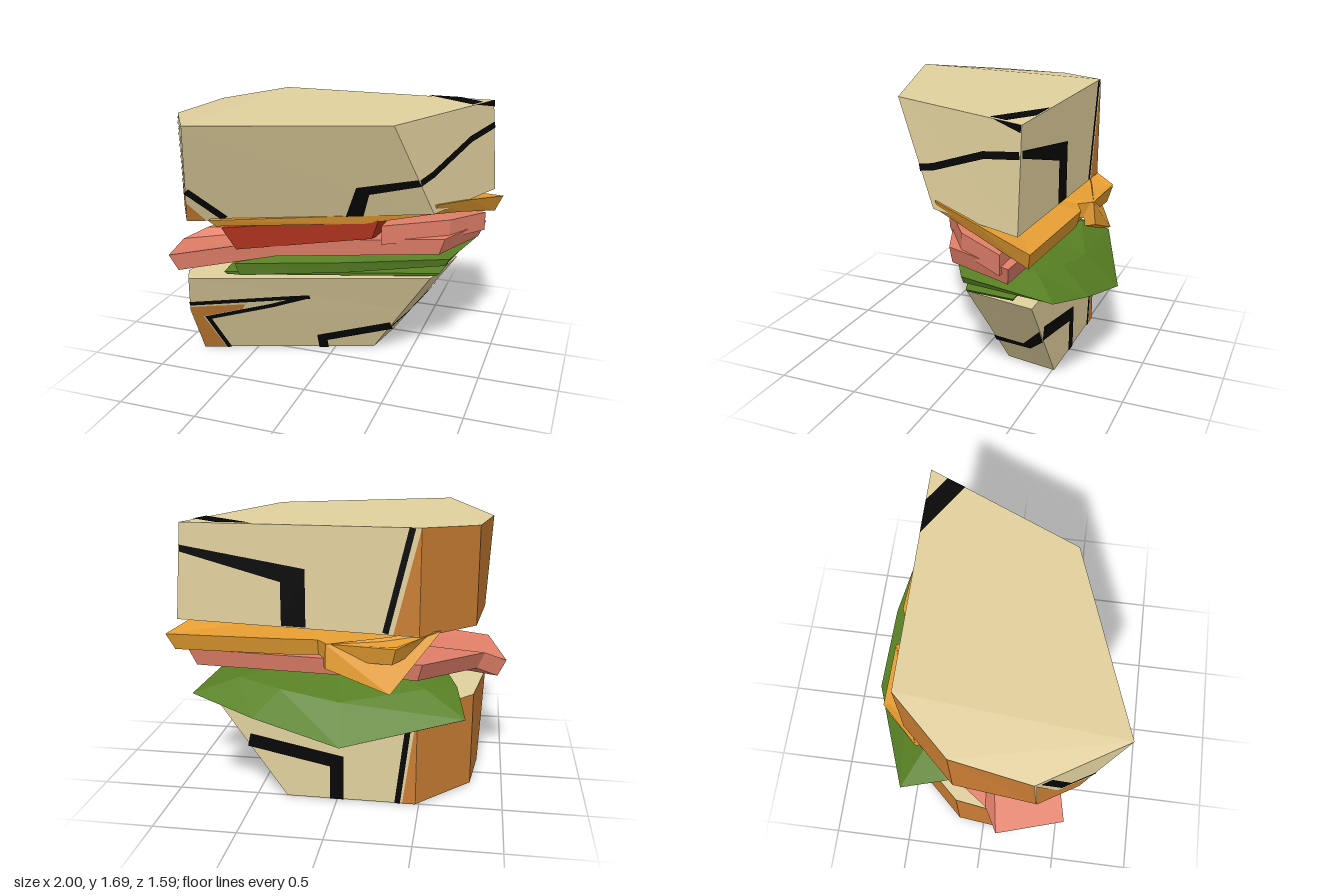
import * as THREE from 'three';

const flat = (name, color) => Object.assign(new THREE.MeshStandardMaterial({ color }), { name });
const V = (p) => new THREE.Vector3(...p);

// Flat-shaded mesh from a list of triangles, skipping collapsed ones
function triMesh(name, material, tris) {
  const pts = tris.map((t) => t.map(V)).filter((t) => new THREE.Triangle(...t).getArea() > 1e-7).flat();
  const geo = new THREE.BufferGeometry().setFromPoints(pts);
  geo.computeVertexNormals();
  const mesh = new THREE.Mesh(geo, material);
  mesh.name = name;
  return mesh;
}

// Side triangles of edge i between two loops, upper one first
const wall = (a, b, i) => {
  const j = (i + 1) % a.length;
  return [[a[i], b[i], b[j]], [a[i], b[j], a[j]]];
};

// End faces of a solid between two loops
const caps = (a, b) => a.slice(2).flatMap((_, i) => [[a[0], a[i + 1], a[i + 2]], [b[0], b[i + 2], b[i + 1]]]);

// Bread loop: front-left, front-right, back-right, back-left, side, left corner.
// The back and the crust corner stay upright; "height" gives y from x.
const BACK = -0.515;
function breadLoop(height, frontLeft, frontRight, backRightX, left) {
  return [frontLeft, frontRight, [backRightX, BACK], [-0.48, BACK], [-0.8, -0.17], left].map(([x, z]) => [x, height(x), z]);
}

// Bread slice from stacked loops; crustEdges are the edges covered by crust
function bread(name, rings, crustEdges, crumb, crust) {
  const tan = caps(rings[0], rings[rings.length - 1]), brown = [];
  for (let r = 0; r < rings.length - 1; r++) {
    rings[r].forEach((_, i) => (crustEdges.includes(i) ? brown : tan).push(...wall(rings[r], rings[r + 1], i)));
  }
  const g = new THREE.Group();
  g.name = name;
  g.add(triMesh(name + 'Crumb', crumb, tan), triMesh(name + 'Crust', crust, brown));
  return g;
}

// Thin painted polygon on a plane; "drop" is the axis solved from the plane
function patch(name, material, corners, drop, pts, lift) {
  const plane = new THREE.Plane().setFromCoplanarPoints(...corners.map(V));
  const n = plane.normal;
  const p3 = pts.map(([u, v]) => {
    const p = V(drop === 'z' ? [u, v, 0] : drop === 'x' ? [0, v, u] : [u, 0, v]);
    p[drop] = -(n.dot(p) + plane.constant) / n[drop];
    return p.addScaledVector(n, lift);
  });
  const tris = THREE.ShapeUtils.triangulateShape(pts.map((p) => new THREE.Vector2(...p)), []).map(([i, j, k]) => {
    const facing = p3[j].clone().sub(p3[i]).cross(p3[k].clone().sub(p3[i])).dot(n) > 0;
    return (facing ? [i, j, k] : [i, k, j]).map((q) => p3[q].toArray());
  });
  return triMesh(name, material, tris);
}

// Widen a 2D path into a mitred stroke outline
function stroke(path, width) {
  const pts = path.map((p) => new THREE.Vector2(...p));
  const normals = pts.slice(1).map((p, i) => p.clone().sub(pts[i]).normalize()).map((d) => new THREE.Vector2(-d.y, d.x));
  const offsets = pts.map((_, i) => {
    const a = normals[Math.max(i - 1, 0)], b = normals[Math.min(i, normals.length - 1)];
    return a.clone().add(b).multiplyScalar(width / 2 / (1 + a.dot(b)));
  });
  const edge = (s) => pts.map((p, i) => p.clone().addScaledVector(offsets[i], s).toArray());
  return [...edge(1), ...edge(-1).reverse()];
}

// Filling sheet: outline fanned to a centre through an inner loop; thick(z) is its depth
function sheet(name, material, outline, centre, thick, { bulge = 0.7, shrink = 1 } = {}) {
  const mix = (p, kxz, ky) => p.map((c, a) => THREE.MathUtils.lerp(centre[a], c, a === 1 ? ky : kxz));
  const lower = ([x, y, z]) => [x, y - thick(z), z];
  const inner = outline.map((p) => mix(p, 0.7, bulge));
  const under = outline.map((p) => lower(mix(p, shrink, 1)));
  const underInner = inner.map(lower);
  const tris = [];
  outline.forEach((_, i) => {
    const j = (i + 1) % outline.length;
    tris.push([centre, inner[i], inner[j]], ...wall(inner, outline, i), ...wall(outline, under, i));
    tris.push(...wall(under, underInner, i), [lower(centre), underInner[j], underInner[i]]);
  });
  return triMesh(name, material, tris);
}

export function createModel() {
  const crumb = flat('crumb tan', 0xe2d19e);
  const crust = flat('crust brown', 0xca7e34);
  const ink = flat('outline black', 0x060606);
  const yellow = flat('cheese orange', 0xf0a534);
  const pink = flat('ham pink', 0xe28069);
  const red = flat('tomato red', 0xbc3822);
  const green = flat('lettuce green', 0x588124);
  const model = new THREE.Group();
  model.name = 'sandwich';

  // Two bread slices with slanted front and right cuts
  const upTop = breadLoop((x) => 1.68 + 0.15 * Math.min(0, x + 0.59), [-0.59, 0.79], [0.51, 0.4], 0.91, [-0.88, 0.3]);
  const upBot = breadLoop((x) => 1.07 + 0.035 * x, [-0.71, 0.57], [0.69, 0.1], 0.955, [-0.85, 0.33]);
  const lowTop = breadLoop(() => 0.6, [-0.81, 0.42], [0.645, -0.08], 0.73, [-0.87, 0.3]);
  const lowMid = breadLoop(() => 0.33, [-0.86, 0.33], [0.467, -0.13], 0.541, [-0.86, 0.33]);
  const lowBot = breadLoop(() => 0, [-0.84, 0.19], [0.25, -0.19], 0.31, [-0.84, 0.19]);
  model.add(bread('topBread', [upTop, upBot], [3, 4], crumb, crust));
  model.add(bread('bottomBread', [lowTop, lowMid, lowBot], [3, 4, 5], crumb, crust));

  // Painted crust patches and dark outlines on the bread faces
  const face = (top, bot, i) => [top[i], bot[i], top[(i + 1) % 6]];
  const up = (i) => face(upTop, upBot, i), low = (i) => face(lowTop, lowBot, i);
  const line = (name, corners, drop, width, ...path) => model.add(patch(name, ink, corners, drop, stroke(path, width), 0.006));
  const black = (name, corners, drop, ...pts) => model.add(patch(name, ink, corners, drop, pts, 0.006));
  const brown = (name, corners, ...pts) => model.add(patch(name, crust, corners, 'z', pts, 0.004));

  black('topFrontLine', up(0), 'z', [0.19, 1.08], [0.27, 1.283], [0.615, 1.335], [0.63, 1.29], [0.337, 1.235], [0.29, 1.083]);
  line('topFrontCornerLine', up(0), 'z', 0.045, [-0.665, 1.26], [-0.49, 1.07]);
  line('topRightLine', up(1), 'x', 0.04, [0.21, 1.31], [0.1, 1.337], [-0.27, 1.48], [-0.512, 1.525]);
  black('topRightCorner', up(1), 'x', [-0.33, 1.68], [BACK, 1.64], [BACK, 1.68]);
  black('topSurfaceCorner', upTop.slice(0, 3), 'y', [0.484, BACK], [0.7, BACK], [0.86, -0.41], [0.815, -0.3]);
  black('topBackLine', up(2), 'z', [0.915, 1.55], [0.18, 1.43], [0.18, 1.085], [0.325, 1.09], [0.325, 1.35], [0.915, 1.51]);
  line('topBackEdgeLine', up(2), 'z', 0.036, [-0.43, 1.68], [-0.285, 1.07]);
  brown('topBackCrust', up(2), [-0.48, 1.68], [-0.33, 1.06], [-0.48, 1.06]);
  line('topCornerLine', up(5), 'z', 0.034, [-0.845, 1.63], [-0.765, 1.27], [-0.67, 1.26]);
  brown('topCornerCrust', up(5), [-0.875, 1.63], [-0.79, 1.22], [-0.685, 1.195], [-0.71, 1.05], [-0.85, 1.04]);
  brown('topFrontCrust', up(0), [-0.685, 1.18], [-0.6, 1.055], [-0.71, 1.052]);

  line('bottomFrontUpperLine', low(0), 'z', 0.03, [-0.85, 0.39], [-0.25, 0.44], [-0.1, 0.45]);
  line('bottomFrontLine', low(0), 'z', 0.03, [-0.12, 0.45], [-0.35, 0.375], [-0.76, 0.27], [-0.68, 0]);
  brown('bottomFrontCrust', low(0), [-0.855, 0.36], [-0.51, 0.385], [-0.53, 0.345], [-0.79, 0.28], [-0.7, 0], [-0.84, 0]);
  line('bottomFrontRightLine', low(0), 'z', 0.06, [-0.07, 0], [-0.07, 0.09], [0.38, 0.2]);
  black('bottomRightLine', low(1), 'x', [-0.15, 0.215], [-0.36, 0.22], [BACK, 0.4], [BACK, 0.3], [-0.4, 0.185], [-0.15, 0.17]);
  line('bottomBackLine', low(2), 'z', 0.085, [0.54, 0.36], [0, 0.25], [0, 0]);
  line('bottomBackEdgeLine', low(2), 'z', 0.034, [-0.44, 0.6], [-0.37, 0]);
  brown('bottomBackCrust', low(2), [-0.48, 0.6], [-0.4, 0], [-0.48, 0]);

  // Cheese slice, thicker where it droops, with a corner folded down at the back
  model.add(sheet('cheese', yellow, [
    [-0.57, 1.065, 0.57], [0.3, 1.085, 0.23], [0.71, 1.15, 0.08], [0.84, 1.11, -0.2], [1, 1.035, -0.6], [0.28, 1.05, -0.645],
    [0.1, 1.03, -0.57], [0.04, 1.03, -0.64], [-0.36, 1.02, -0.66], [-0.57, 1.06, -0.4],
  ], [0.1, 1.07, -0.1], (z) => 0.07 - 0.05 * z, { shrink: 0.95 }));
  const flapOuter = [[0.04, 1.03, -0.65], [0.04, 0.89, -0.665], [-0.33, 0.75, -0.665], [-0.6, 1.07, -0.42], [-0.36, 1.03, -0.66]];
  const flapInner = flapOuter.map(([x, y, z]) => [x + 0.02, y - 0.01, z + 0.06]);
  model.add(triMesh('cheeseFlap', yellow, [...caps(flapOuter, flapInner), ...flapOuter.flatMap((_, i) => wall(flapOuter, flapInner, i))]));

  // Tomato wedge and the ham folded beside it
  model.add(sheet('tomato', red, [
    [-0.52, 1, 0.5], [0.38, 1.07, 0.19], [0.38, 1.03, -0.04], [0.2, 1, -0.4], [-0.45, 1, -0.3],
  ], [-0.02, 1.02, 0.05], () => 0.15, { shrink: 0.87 }));
  model.add(sheet('hamFold', pink, [
    [0.38, 1, 0.15], [0.75, 1, -0.1], [0.92, 0.975, -0.4], [0.4, 0.99, -0.4],
  ], [0.6, 0.99, -0.2], () => 0.12));

  // Ham slice drooping to the left corner
  model.add(sheet('ham', pink, [
    [-0.885, 0.785, 0.515], [-0.25, 0.905, 0.37], [0.74, 0.9, -0.02], [0.92, 0.9, -0.45],
    [-0.5, 0.88, -0.49], [-0.86, 0.81, 0.03], [-1, 0.74, 0.11],
  ], [0.05, 0.905, -0.05], () => 0.105, { shrink: 0.95 }));

  // Domed lettuce leaf, thick at the front and hanging thin at the back, with a thin leaf below
  model.add(sheet('lettuce', green, [
    [-0.48, 0.745, 0.42], [0.2, 0.765, 0.22], [0.76, 0.74, -0.1], [0.83, 0.7, -0.67], [0.45, 0.6, -0.76],
    [-0.06, 0.465, -0.8], [-0.76, 0.575, -0.54], [-0.7, 0.67, -0.25],
  ], [0.05, 0.79, -0.1], (z) => Math.max(0.012, 0.055 + 0.07 * z), { bulge: 0.4, shrink: 0.96 }));
  model.add(sheet('lowerLettuce', green, [
    [-0.6, 0.64, 0.33], [0.7, 0.635, -0.1], [0.72, 0.635, -0.4], [-0.68, 0.635, -0.4],
  ], [0, 0.64, -0.05], () => 0.02, { shrink: 0.97 }));
  return model;
}
